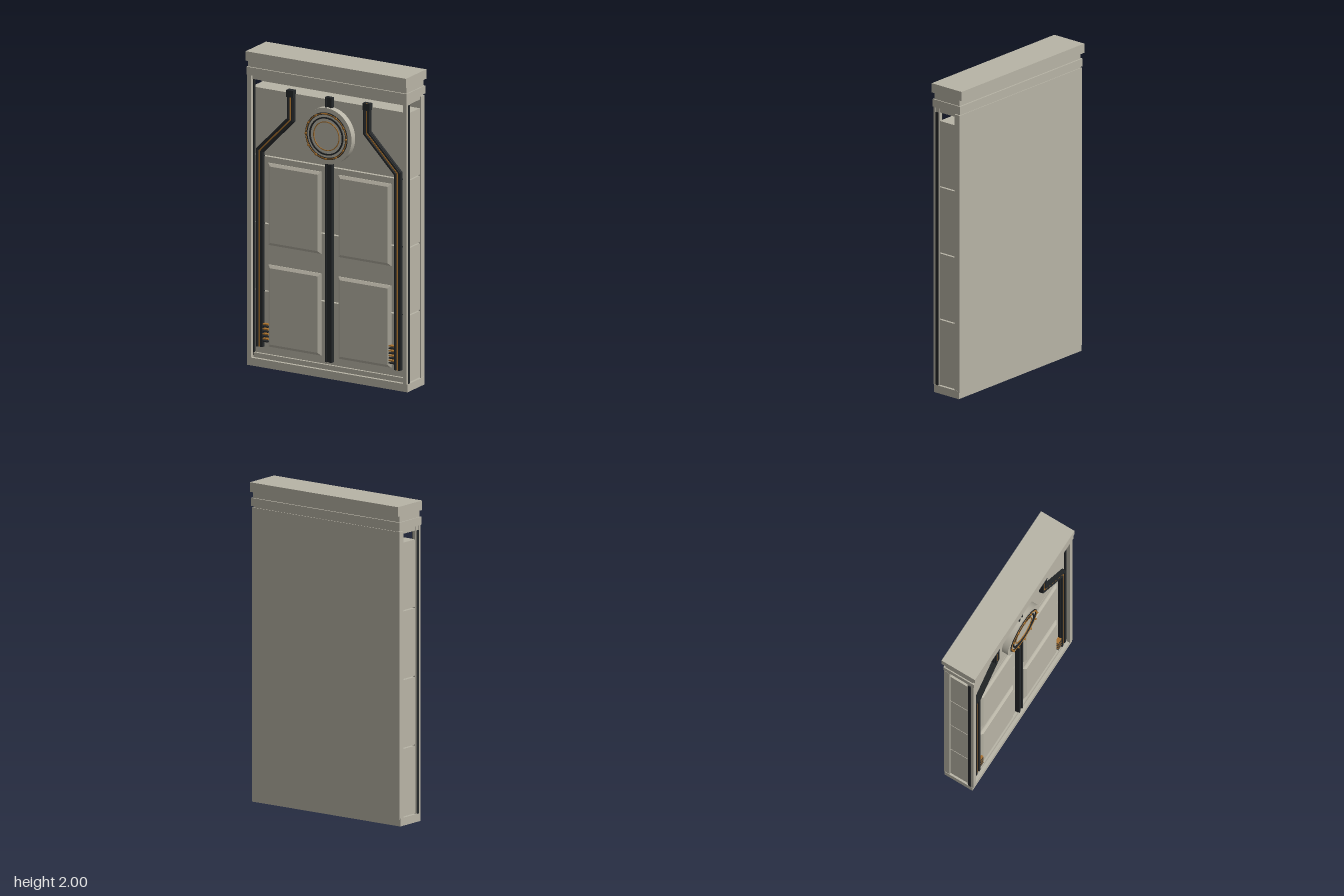
import * as THREE from 'three';

const stone = new THREE.MeshStandardMaterial({ color: 0xb8b4a6 });
const dark = new THREE.MeshStandardMaterial({ color: 0x25282a });
const copper = new THREE.MeshStandardMaterial({ color: 0xa8702c });

export function createModel() {
  const root = new THREE.Group();

  const add = (name, geometry, material, parent = root) => {
    const mesh = new THREE.Mesh(geometry, material);
    mesh.name = name;
    parent.add(mesh);
    return mesh;
  };

  // box given by its limits on each axis
  const box = (name, x0, x1, y0, y1, z0, z1, material = stone, parent = root) => {
    const mesh = add(name, new THREE.BoxGeometry(x1 - x0, y1 - y0, z1 - z0), material, parent);
    mesh.position.set((x0 + x1) / 2, (y0 + y1) / 2, (z0 + z1) / 2);
    return mesh;
  };

  // flat strip of constant width along a mitred path, between depths z0 and z1
  const strip = (name, path, from, to, z0, z1, material, parent) => {
    const normals = path.slice(1).map((p, i) => {
      const d = new THREE.Vector2().subVectors(p, path[i]).normalize();
      return new THREE.Vector2(-d.y, d.x);
    });
    const side = offset => path.map((p, i) => {
      const a = normals[Math.max(i - 1, 0)], b = normals[Math.min(i, normals.length - 1)];
      return a.clone().add(b).multiplyScalar(offset / (1 + a.dot(b))).add(p);
    });
    const shape = new THREE.Shape([...side(from), ...side(to).reverse()]);
    const geometry = new THREE.ExtrudeGeometry(shape, { depth: z1 - z0, bevelEnabled: false });
    geometry.translate(0, 0, z0);
    return add(name, geometry, material, parent);
  };

  // flat ring facing the front
  const ring = (name, inner, outer, z0, z1, material, parent) => {
    const profile = [[inner, z0], [outer, z0], [outer, z1], [inner, z1], [inner, z0]]
      .map(p => new THREE.Vector2(...p));
    const geometry = new THREE.LatheGeometry(profile, 64).toNonIndexed();
    geometry.computeVertexNormals();
    geometry.rotateX(Math.PI / 2);
    return add(name, geometry, material, parent);
  };

  // base, back slab and stepped cornice
  box('base', -0.572, 0.572, 0, 0.05, -0.1, 0.1);
  box('backSlab', -0.57, 0.57, 0.04, 1.84, -0.105, -0.065);
  box('corniceLower', -0.572, 0.572, 1.85, 1.9, -0.11, 0.11);
  box('corniceNeck', -0.565, 0.565, 1.9, 1.94, -0.1, 0.1);
  box('corniceTop', -0.572, 0.572, 1.94, 2, -0.123, 0.118);

  // stacked wall blocks with open joints
  for (let i = 0; i < 4; i++) {
    const y = 0.053 + i * 0.43;
    box('wallBlock', -0.56, 0.56, y, y + 0.422, -0.065, 0.065);
  }
  box('topRail', -0.56, 0.56, 1.82, 1.85, -0.1, 0.085);
  box('bottomRail', -0.54, 0.54, 0.05, 0.08, 0.06, 0.08);

  // raised panels with sloped edges
  const panelShape = new THREE.Shape([[-0.17, -0.243], [0.17, -0.243], [0.17, 0.243], [-0.17, 0.243]]
    .map(p => new THREE.Vector2(...p)));
  for (const x of [-0.25, 0.25]) {
    for (const y of [0.39, 1.037]) {
      const geometry = new THREE.ExtrudeGeometry(panelShape, {
        depth: 0.006, bevelThickness: 0.012, bevelSize: 0.018, bevelSegments: 1,
      });
      add('raisedPanel', geometry, stone).position.set(x, y, 0.065);
    }
  }

  for (const s of [-1, 1]) {
    const half = new THREE.Group();
    half.name = s > 0 ? 'leftTrim' : 'rightTrim';
    root.add(half);
    const span = (name, a, b, y0, y1, z0, z1, material) =>
      box(name, Math.min(s * a, s * b), Math.max(s * a, s * b), y0, y1, z0, z1, material, half);

    // corner post with dark inlays on both sides
    span('cornerPost', 0.542, 0.565, 0.05, 1.85, 0.06, 0.105);
    span('outerInlay', 0.563, 0.571, 0.05, 1.82, 0.069, 0.087, dark);
    span('outerPostEdge', 0.563, 0.57, 0.05, 1.85, 0.088, 0.105);
    span('innerInlay', 0.535, 0.543, 0.06, 1.82, 0.064, 0.078, dark);

    // bent conduit with ribs and a copper core
    const path = [[0.272, 1.79], [0.272, 1.6], [0.492, 1.375], [0.492, 0.125]]
      .map(([x, y]) => new THREE.Vector2(s * x, y));
    strip('conduit', path, -0.024, 0.024, 0.06, 0.083, dark, half);
    for (const r of [-0.015, 0.015]) {
      strip('conduitRib', path, r - 0.006, r + 0.006, 0.08, 0.093, dark, half);
    }
    strip('conduitCore', path, -0.004, 0.004, 0.08, 0.089, copper, half);
    span('conduitCap', 0.247, 0.297, 1.745, 1.79, 0.06, 0.094, dark);

    // small vent beside the conduit foot
    for (let i = 0; i < 8; i++) {
      const y = 0.16 + i * 0.0155;
      span('ventSlat', 0.43, 0.47, y, y + 0.007, 0.064, 0.09, i % 2 ? copper : dark);
    }
  }

  // central column
  const spine = [new THREE.Vector2(0, 1.785), new THREE.Vector2(0, 0.1)];
  strip('centreStrip', spine, -0.025, 0.025, 0.06, 0.085, dark);
  for (const r of [-0.016, 0.016]) {
    strip('centreRib', spine, r - 0.006, r + 0.006, 0.08, 0.093, dark);
  }

  // round medallion with rings and studs
  const medallion = new THREE.Group();
  medallion.name = 'medallion';
  medallion.position.y = 1.545;
  root.add(medallion);
  const disc = add('disc', new THREE.CylinderGeometry(0.178, 0.178, 0.046, 64), stone, medallion);
  disc.rotation.x = Math.PI / 2;
  disc.position.z = 0.085;
  ring('outerRing', 0.136, 0.15, 0.1, 0.113, dark, medallion);
  ring('outerCopperRing', 0.14, 0.146, 0.1, 0.116, copper, medallion);
  ring('middleRing', 0.112, 0.121, 0.1, 0.115, dark, medallion);
  ring('innerCopperRing', 0.088, 0.093, 0.1, 0.113, copper, medallion);
  for (let i = 0; i < 12; i++) {
    const a = i * Math.PI / 6;
    const stud = add('stud', new THREE.CylinderGeometry(0.006, 0.006, 0.018, 10), copper, medallion);
    stud.rotation.x = Math.PI / 2;
    stud.position.set(0.143 * Math.cos(a), 0.143 * Math.sin(a), 0.115);
  }

  return root;
}
